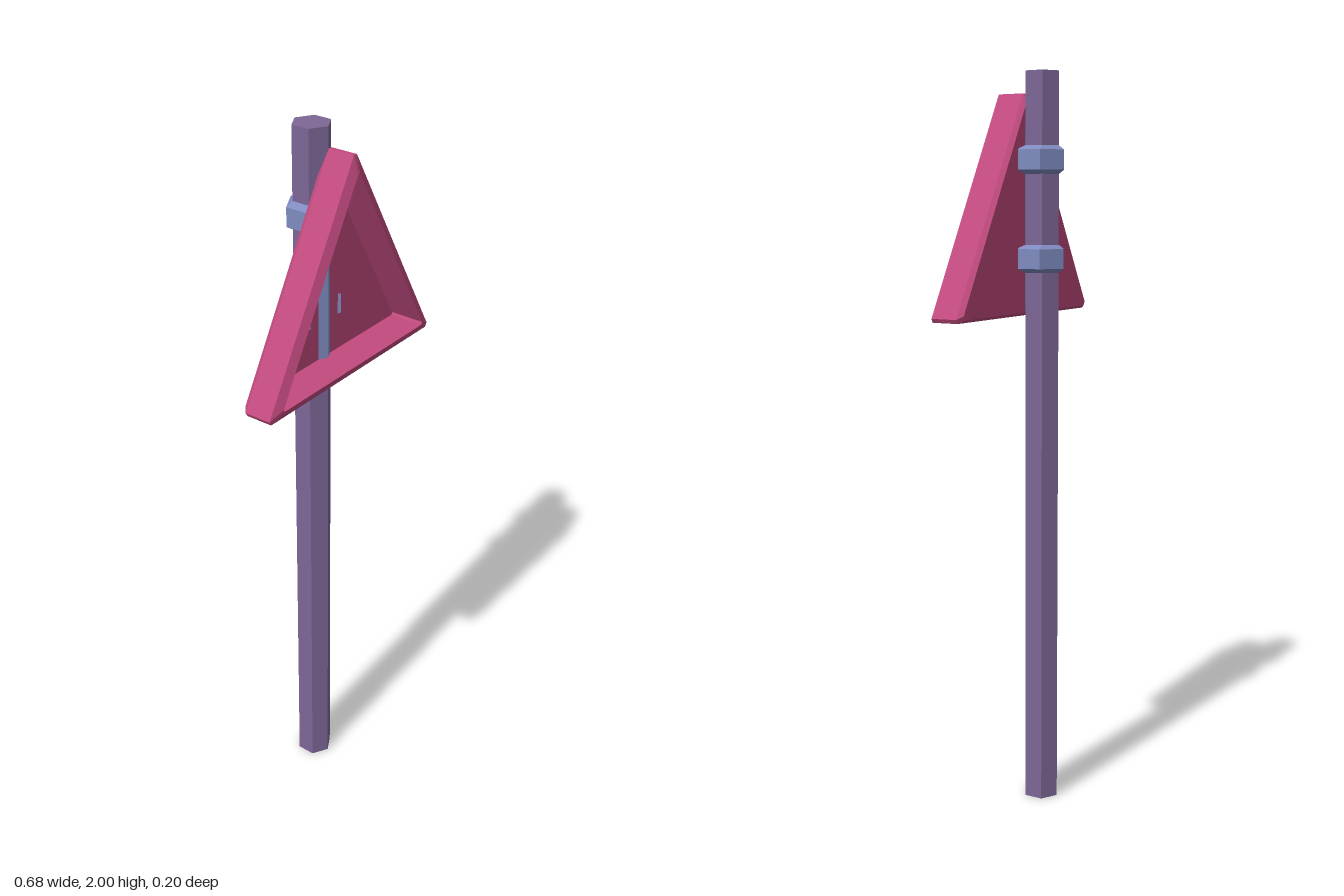
import * as THREE from 'three';

const v = (x, y, z) => new THREE.Vector3(x, y, z);

// Flat-faced skin through equal-sized rings, capped at both ends
function loft(rings) {
  const pts = [];
  const n = rings[0].length;
  for (let i = 0; i < rings.length - 1; i++) {
    for (let j = 0; j < n; j++) {
      const k = (j + 1) % n;
      const a = rings[i][j], b = rings[i][k], c = rings[i + 1][k], d = rings[i + 1][j];
      pts.push(a, b, c, a, c, d);
    }
  }
  const first = rings[0], last = rings[rings.length - 1];
  for (let j = 1; j < n - 1; j++) {
    pts.push(first[0], first[j + 1], first[j]);
    pts.push(last[0], last[j], last[j + 1]);
  }
  const geo = new THREE.BufferGeometry().setFromPoints(pts);
  geo.computeVertexNormals();
  return geo;
}

// Upright triangle with slightly clipped corners, counter-clockwise from the front
function triangleRing(radius, z, clip) {
  const ring = [];
  for (let i = 0; i < 3; i++) {
    const corner = Math.PI / 2 + (i * Math.PI * 2) / 3;
    for (const side of [-1, 1]) {
      const dir = corner + Math.PI + side * -Math.PI / 6;
      ring.push(v(
        radius * Math.cos(corner) + clip * Math.cos(dir),
        1.558 + radius * Math.sin(corner) + clip * Math.sin(dir),
        z
      ));
    }
  }
  // order each clipped pair counter-clockwise
  for (let i = 0; i < 6; i += 2) {
    const [a, b] = [ring[i], ring[i + 1]];
    if (a.x * (b.y - 1.558) - (a.y - 1.558) * b.x < 0) [ring[i], ring[i + 1]] = [b, a];
  }
  return ring;
}

export function createModel() {
  const model = new THREE.Group();
  const material = (name, color) => {
    const m = new THREE.MeshStandardMaterial({ color, flatShading: true });
    m.name = name;
    return m;
  };
  const purple = material('polePurple', 0x7d6796);
  const pink = material('signPink', 0xc24a7e);
  const blue = material('bracketBlue', 0x7f8bc0);

  const add = (name, geo, mat) => {
    const mesh = new THREE.Mesh(geo, mat);
    mesh.name = name;
    model.add(mesh);
    return mesh;
  };

  // Hexagonal pole, just behind the sign
  const poleX = -0.008, poleZ = -0.037, poleR = 0.051;
  add('pole', new THREE.CylinderGeometry(poleR, poleR, 2, 6), purple).position.set(poleX, 1, poleZ);

  // Triangular tray: bevelled rim around a recessed plate
  add('signPanel', loft([
    triangleRing(0.38, 0, 0.012),
    triangleRing(0.397, 0.013, 0.012),
    triangleRing(0.397, 0.088, 0.012),
    triangleRing(0.348, 0.1, 0.008),
    triangleRing(0.348, 0.001, 0.008),
  ]), pink);

  // Narrow ridge showing through the middle of the plate
  add('centreRidge', loft([1.375, 1.88].map((y) => [
    v(poleX - 0.026, y, 0), v(poleX, y, 0.015), v(poleX + 0.026, y, 0),
  ])), blue);

  // Open straps wrapping the sides and back of the pole
  for (const [name, y] of [['lowerBracket', 1.513], ['upperBracket', 1.772]]) {
    const rings = [];
    for (let i = 1; i <= 5; i++) {
      const s = Math.sin(i * Math.PI / 3), c = Math.cos(i * Math.PI / 3);
      const inner = (h) => v(poleX + poleR * s, y + h, poleZ + poleR * c);
      const outer = (h) => v(poleX + 0.0735 * s, y + h, -0.0298 + 0.0735 * c);
      rings.push([inner(-0.037), inner(0.037), outer(0.026), outer(-0.026)]);
    }
    add(name, loft(rings), blue);
  }

  return model;
}
